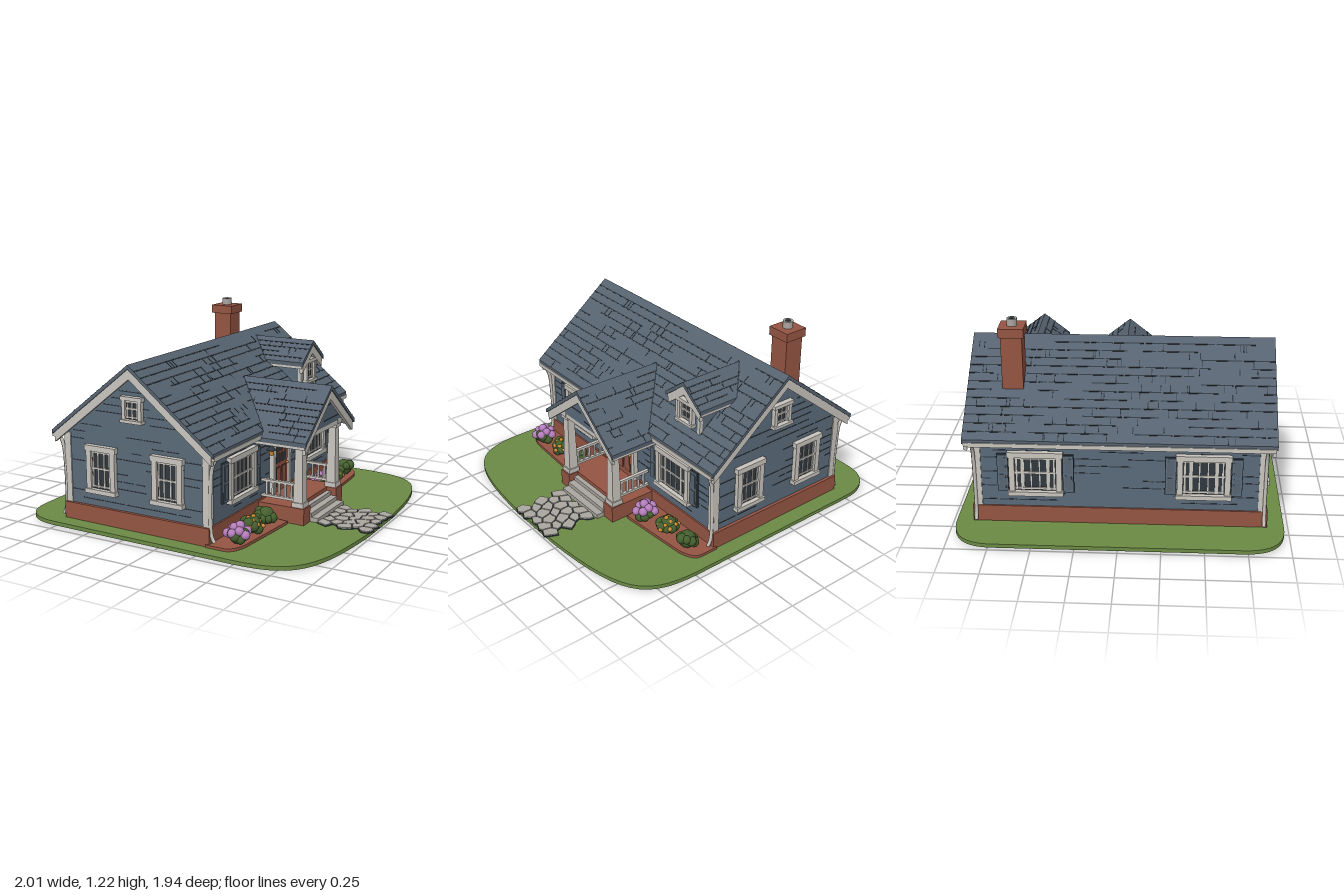
import * as THREE from 'three';
import { mergeGeometries } from 'three/addons/utils/BufferGeometryUtils.js';

const mat = (name, color) => Object.assign(new THREE.MeshStandardMaterial({ color }), { name });
const siding = mat('blue siding', 0x5a6a79), slate = mat('slate roof', 0x566370), trim = mat('white trim', 0xc9c5be),
  brick = mat('red brick', 0x955543), grass = mat('grass', 0x6b8a45), leaf = mat('leaf green', 0x45602f),
  pink = mat('purple bloom', 0xb77fbd), orange = mat('orange bloom', 0xd08c30), stone = mat('stone', 0xaaa6a0),
  ink = mat('dark glass and joints', 0x30383f);

let seed = 7;
const rnd = (a = 0, b = 1) => {
  seed = (seed * 16807) % 2147483647;
  return a + (b - a) * seed / 2147483647;
};

function add(parent, name, geo, material, x = 0, y = 0, z = 0) {
  const m = new THREE.Mesh(geo, material);
  m.name = name;
  m.position.set(x, y, z);
  parent.add(m);
  return m;
}
const box = (p, name, m, w, h, d, x, y, z) => add(p, name, new THREE.BoxGeometry(w, h, d), m, x, y, z);
function group(parent, name, x = 0, y = 0, z = 0, ry = 0) {
  const g = new THREE.Group();
  g.name = name;
  g.position.set(x, y, z);
  g.rotation.y = ry;
  parent.add(g);
  return g;
}
const poly = pts => new THREE.Shape(pts.map(p => new THREE.Vector2(...p)));
const prism = (shape, len) => new THREE.ExtrudeGeometry(shape, { depth: len, bevelEnabled: false, curveSegments: 14 }).translate(0, 0, -len / 2);
const slab = (shape, h) => new THREE.ExtrudeGeometry(shape, { depth: h, bevelEnabled: false, curveSegments: 14 }).rotateX(-Math.PI / 2);
function flat(geo) {
  const g = geo.toNonIndexed();
  g.computeVertexNormals();
  return g;
}

// Dark joint pieces scattered along a line from a to b
function dashes(list, a, b, chance, make) {
  for (let p = a; p < b - 0.01;) {
    const len = Math.min(rnd(0.05, 0.26), b - p);
    if (rnd() < chance) list.push(make(p + len / 2, len));
    p += len + 0.01;
  }
}

// Gable roof running along local z: shingles, soffit, rake boards and course joints
function gableRoof(parent, name, half, ridge, s, len, rows) {
  const chevron = (w, top, t) => poly([[-w, top - s * w], [0, top], [w, top - s * w], [w, top - s * w - t], [0, top - t], [-w, top - s * w - t]]);
  add(parent, name + 'Shingles', prism(chevron(half, ridge, 0.026), len), slate);
  add(parent, name + 'Soffit', prism(chevron(half - 0.004, ridge - 0.026, 0.02), len - 0.02), trim);
  for (const e of [-1, 1])
    add(parent, name + 'RakeBoard', prism(chevron(half - 0.015, ridge - 0.026, 0.06), 0.022), trim, 0, 0, e * (len / 2 - 0.018));
  const joints = [], tilt = Math.atan(s);
  for (const side of [-1, 1]) for (let k = 1; k < rows; k++) {
    const u = half * k / rows, v = u + half * 0.5 / rows;
    dashes(joints, -len / 2, len / 2, 0.8, (c, l) =>
      new THREE.BoxGeometry(0.007, 0.005, l).rotateZ(-side * tilt).translate(side * u, ridge - s * u, c));
    for (let n = 0; n < len * 4; n++)
      joints.push(new THREE.BoxGeometry(half / rows, 0.004, 0.004).rotateZ(-side * tilt)
        .translate(side * v, ridge - s * v, rnd(-0.48, 0.48) * len));
  }
  add(parent, name + 'Joints', mergeGeometries(joints), ink);
}

// Board joints on a wall facing local +z
function boards(parent, y0, y1, halfAt) {
  const list = [];
  for (let y = y0; y < y1; y += 0.046)
    dashes(list, -halfAt(y), halfAt(y), 0.55, (c, l) => new THREE.BoxGeometry(l, 0.005, 0.004).translate(c, y, 0));
  add(parent, 'sidingJoints', mergeGeometries(list), ink);
}

// Window facing local +z, with frame, sill, glazing bars and optional shutters
function makeWindow(parent, w, h, bars, shutters = false) {
  const f = Math.min(0.034, w * 0.17);
  box(parent, 'glass', ink, w - f, h - f, 0.008, 0, 0, 0.006);
  for (const s of [-1, 1]) {
    box(parent, 'sideCasing', trim, f, h, 0.03, s * (w - f) / 2, 0, 0.012);
    box(parent, 'sashStile', trim, 0.01, h - 2 * f, 0.014, s * (w / 2 - f - 0.011), 0, 0.01);
    box(parent, 'sashRail', trim, w - 2 * f, 0.01, 0.014, 0, s * (h / 2 - f - 0.009), 0.01);
  }
  box(parent, 'headCasing', trim, w + 0.016, f, 0.036, 0, (h - f) / 2, 0.014);
  box(parent, 'sill', trim, w + 0.016, f * 0.8, 0.042, 0, -(h - f * 0.8) / 2, 0.017);
  for (const [x, bw] of bars) box(parent, 'glazingBar', trim, bw, h - 2 * f, 0.012, x, 0, 0.01);
  box(parent, 'meetingRail', trim, w - 2 * f, 0.012, 0.013, 0, 0.005, 0.01);
  if (shutters) for (const s of [-1, 1]) {
    const x = s * (w / 2 + 0.037);
    box(parent, 'shutterEdge', ink, 0.066, 0.242, 0.012, x, 0, 0.006);
    box(parent, 'shutter', siding, 0.058, 0.234, 0.018, x, 0, 0.008);
    for (const t of [-1, 1]) box(parent, 'shutterPanel', slate, 0.036, 0.092, 0.006, x, t * 0.055, 0.018);
  }
}

function makeGrounds(house) {
  // Lawn, tipping slightly down towards the path
  const s = new THREE.Shape();
  s.moveTo(-1, -0.72);
  s.quadraticCurveTo(-1, -0.96, -0.75, -0.97);
  s.lineTo(0.5, -0.97);
  s.bezierCurveTo(0.86, -0.96, 0.95, -0.85, 0.985, -0.2);
  s.lineTo(0.985, 0.2);
  s.bezierCurveTo(0.95, 0.85, 0.86, 0.96, 0.5, 0.97);
  s.lineTo(-0.75, 0.97);
  s.quadraticCurveTo(-1, 0.96, -1, 0.72);
  const lawn = slab(s, 0.024), p = lawn.attributes.position;
  for (let i = 0; i < p.count; i++) p.setY(i, p.getY(i) + 0.008 * (1 - p.getX(i)));
  lawn.computeVertexNormals();
  add(house, 'lawn', lawn, grass);

  // Flagstone path: hexagons whose shared corners are shifted by a rule
  const path = group(house, 'path', 0, 0.024);
  for (let i = 0; i < 5; i++) for (let j = 0; j < 5 - i % 2; j++) {
    const cx = 0.685 + i * 0.0675, cz = 0.02 + (j - 2 + (i % 2) / 2) * 0.078;
    const corners = [0, 1, 2, 3, 4, 5].map(k => {
      const a = k * Math.PI / 3, x = cx + 0.045 * Math.cos(a), z = cz + 0.045 * Math.sin(a);
      return [x + 0.011 * Math.sin(x * 91 + z * 57), z + 0.013 * Math.sin(x * 63 - z * 83)];
    });
    const hex = k => poly(corners.map(([x, z]) => [cx + (x - cx) * k, -(cz + (z - cz) * k)]));
    add(path, 'pathJoint', slab(hex(1), 0.007), ink);
    add(path, 'flagstone', slab(hex(0.91), 0.013), stone);
  }

  // Flower beds and plants on both sides of the porch
  for (const d of [-1, 1]) {
    const b = new THREE.Shape();
    b.moveTo(0.27, -d * 0.27);
    b.lineTo(0.5, -d * 0.3);
    b.lineTo(0.47, -d * 0.76);
    b.quadraticCurveTo(0.45, -d * 0.885, 0.38, -d * 0.88);
    b.lineTo(0.27, -d * 0.88);
    add(house, 'flowerBed', slab(b, 0.03), brick, 0, 0.016, 0);
  }
  const blob = (g, name, m, r, x, y, z) => add(g, name, new THREE.IcosahedronGeometry(r, 1), m, x, y, z);
  const plant = (x, z, bloom) => {
    const g = group(house, bloom ? 'floweringPlant' : 'shrub', x, 0.05, z);
    blob(g, 'foliage', leaf, 0.055, 0, 0.045, 0);
    for (let i = 0; i < 8; i++) {
      const a = i * 0.785, r = 0.04;
      blob(g, 'foliage', leaf, rnd(0.026, 0.036), r * Math.cos(a), rnd(0.02, 0.07), r * Math.sin(a));
    }
    if (!bloom) return;
    const big = bloom === pink, n = big ? 10 : 15;
    for (let i = 0; i < n; i++) {
      const a = i * 2.4, r = (big ? 0.066 : 0.072) * Math.sqrt((i + 0.3) / n);
      blob(g, 'bloom', bloom, big ? 0.028 : 0.014, r * Math.cos(a), (big ? 0.115 : 0.105) - r * 0.95, r * Math.sin(a));
    }
  };
  plant(0.42, 0.76, pink); plant(0.4, 0.565, orange); plant(0.4, 0.39);
  plant(0.42, -0.385, pink); plant(0.4, -0.575, orange); plant(0.4, -0.76);
}

function makePorch(house) {
  const porch = group(house, 'porch');
  box(porch, 'porchFloor', brick, 0.26, 0.11, 0.56, 0.4, 0.075, 0);
  [[0.56, 0.105], [0.605, 0.08], [0.65, 0.055]].forEach(([x, top]) =>
    box(porch, 'step', stone, x - 0.5, top - 0.02, 0.38, (x + 0.5) / 2, (top + 0.02) / 2, 0));
  for (const d of [-1, 1]) {
    box(porch, 'pier', brick, 0.085, 0.11, 0.09, 0.555, 0.075, d * 0.235);
    box(porch, 'columnBase', trim, 0.076, 0.03, 0.076, 0.55, 0.145, d * 0.235);
    box(porch, 'columnCap', trim, 0.07, 0.025, 0.07, 0.55, 0.535, d * 0.235);
    const shaft = flat(new THREE.CylinderGeometry(0.034, 0.045, 0.38, 4).rotateY(Math.PI / 4));
    add(porch, 'column', shaft, trim, 0.55, 0.34, d * 0.235);
    for (const y of [0.165, 0.262]) box(porch, 'rail', trim, 0.24, 0.016, 0.022, 0.41, y, d * 0.235);
    for (let i = 0; i < 5; i++) box(porch, 'baluster', trim, 0.013, 0.1, 0.013, 0.325 + i * 0.042, 0.213, d * 0.235);
    box(porch, 'sideBeam', trim, 0.32, 0.035, 0.05, 0.43, 0.563, d * 0.235);
  }
  box(porch, 'frontBeam', trim, 0.055, 0.035, 0.56, 0.56, 0.563, 0);
  box(porch, 'ceiling', trim, 0.3, 0.01, 0.5, 0.43, 0.572, 0);
  const roof = group(porch, 'porchRoof', 0.3, 0, 0, Math.PI / 2);
  gableRoof(roof, 'porch', 0.355, 0.84, 0.79, 0.68, 9);
  add(roof, 'porchGable', prism(poly([[-0.285, 0.575], [0.285, 0.575], [0, 0.8]]), 0.28), siding, 0, 0, 0.15);
  const face = group(roof, 'porchGableJoints', 0, 0, 0.291);
  boards(face, 0.61, 0.76, y => (0.78 - y) / 0.79);

  // Front door and wall lantern
  const door = group(porch, 'frontDoor', 0.28, 0.13, 0, Math.PI / 2);
  box(door, 'doorLeaf', brick, 0.18, 0.35, 0.02, 0, 0.175, 0.008);
  for (const d of [-1, 1]) {
    box(door, 'doorCasing', trim, 0.03, 0.36, 0.034, d * 0.104, 0.18, 0.014);
    box(door, 'doorPanelEdge', ink, 0.056, 0.125, 0.006, d * 0.036, 0.095, 0.018);
    box(door, 'doorPanel', brick, 0.048, 0.117, 0.008, d * 0.036, 0.095, 0.019);
  }
  box(door, 'doorHead', trim, 0.25, 0.03, 0.04, 0, 0.37, 0.015);
  box(door, 'doorGlass', ink, 0.135, 0.14, 0.006, 0, 0.255, 0.018);
  for (const x of [-0.023, 0.023]) box(door, 'doorBar', brick, 0.008, 0.14, 0.008, x, 0.255, 0.02);
  box(door, 'doorBar', brick, 0.135, 0.008, 0.008, 0, 0.255, 0.02);
  add(door, 'doorKnob', new THREE.SphereGeometry(0.009, 10, 8), orange, 0.072, 0.165, 0.026);
  const lamp = group(porch, 'lantern', 0.32, 0.435, 0.17);
  add(lamp, 'lampShade', new THREE.ConeGeometry(0.032, 0.03, 12), ink, 0, 0.015, 0);
  add(lamp, 'lampGlow', new THREE.CylinderGeometry(0.018, 0.012, 0.035, 10), orange, 0, -0.017, 0);
  box(lamp, 'lampArm', ink, 0.04, 0.01, 0.01, -0.02, 0.025, 0);
}

export function createModel() {
  const house = new THREE.Group();
  house.name = 'cottage';
  makeGrounds(house);

  // Main body
  box(house, 'foundation', brick, 1.02, 0.12, 1.74, -0.22, 0.08, 0);
  add(house, 'walls', prism(poly([[-0.5, 0.1], [0.5, 0.1], [0.5, 0.58], [0, 0.98], [-0.5, 0.58]]), 1.7), siding, -0.22, 0, 0);
  gableRoof(group(house, 'mainRoof', -0.22), 'main', 0.56, 1.04, 0.8, 1.81, 13);
  for (const sx of [-1, 1]) {
    const x = -0.22 + sx * 0.5;
    box(house, 'gutter', trim, 0.025, 0.026, 1.79, -0.22 + sx * 0.553, 0.561, 0);
    for (const sz of [-1, 1]) {
      box(house, 'cornerBoard', trim, 0.045, 0.44, 0.045, x - sx * 0.016, 0.355, sz * 0.834);
      const pipe = new THREE.CatmullRomCurve3([[0.55, 0.55], [0.53, 0.515], [0.516, 0.46], [0.516, 0.09], [0.535, 0.055]]
        .map(([px, py]) => new THREE.Vector3(-0.22 + sx * px, py, sz * 0.85)));
      add(house, 'downspout', new THREE.TubeGeometry(pipe, 24, 0.011, 6), trim);
    }
    // Long walls with shuttered windows
    const wall = group(house, 'longWall', x, 0, 0, sx * Math.PI / 2);
    boards(wall, 0.18, 0.55, () => 0.81);
    for (const d of [-1, 1])
      makeWindow(group(wall, 'shutteredWindow', d * 0.49, 0.362), 0.31, 0.28,
        [[-0.075, 0.02], [0.075, 0.02], [-0.025, 0.007], [0.025, 0.007]], true);
  }
  // Gable ends
  for (const sz of [-1, 1]) {
    const wall = group(house, 'gableWall', -0.22, 0, sz * 0.85, sz > 0 ? 0 : Math.PI);
    boards(wall, 0.18, 0.9, y => Math.min(0.46, (0.95 - y) / 0.8));
    for (const d of [-1, 1]) makeWindow(group(wall, 'gableWindow', d * 0.233, 0.375), 0.205, 0.295, [[-0.022, 0.008], [0.022, 0.008]]);
    makeWindow(group(wall, 'atticWindow', 0, 0.77), 0.135, 0.155, [[0, 0.008]]);
  }

  // Dormer
  const dormer = group(house, 'dormer', 0, 0, -0.535, Math.PI / 2);
  const dormerRoof = group(dormer, 'dormerRoof', 0, 0, 0.03);
  gableRoof(dormerRoof, 'dormer', 0.16, 1.0, 0.78, 0.46, 5);
  add(dormer, 'dormerWalls', prism(poly([[-0.11, 0.62], [0.11, 0.62], [0.11, 0.87], [0, 0.955], [-0.11, 0.87]]), 0.36), siding, 0, 0, 0.04);
  for (const d of [-1, 1]) box(dormer, 'dormerCorner', trim, 0.022, 0.2, 0.022, d * 0.102, 0.775, 0.213);
  makeWindow(group(dormer, 'dormerWindow', 0, 0.8, 0.22), 0.135, 0.155, [[0, 0.008]]);

  // Chimney
  const chimney = group(house, 'chimney', -0.455, 0, -0.635);
  box(chimney, 'chimneyStack', brick, 0.125, 0.46, 0.125, 0, 0.9, 0);
  box(chimney, 'chimneyCap', brick, 0.152, 0.055, 0.15, 0, 1.15, 0);
  add(chimney, 'chimneyPot', new THREE.CylinderGeometry(0.031, 0.031, 0.045, 16), stone, 0, 1.198, 0);
  add(chimney, 'flue', new THREE.CylinderGeometry(0.018, 0.018, 0.004, 16), ink, 0, 1.221, 0);

  makePorch(house);
  return house;
}
